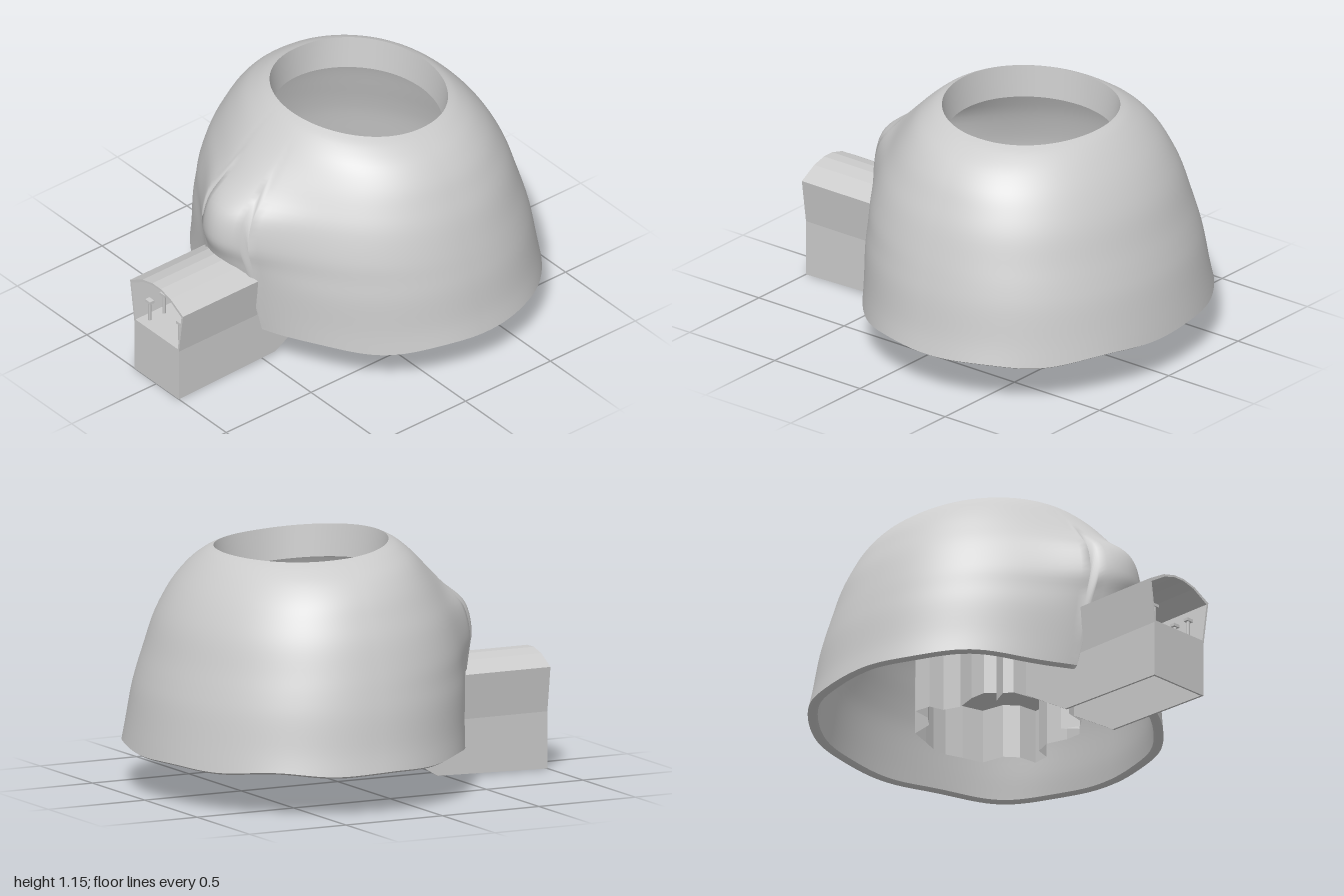
import * as THREE from 'three';

const mat = new THREE.MeshStandardMaterial({ color: 0xcccccc, side: THREE.DoubleSide });
const TAU = Math.PI * 2;
const { lerp, clamp, degToRad } = THREE.MathUtils;

// Dome profile: y, half width, back z, front z, front bulge
const PROFILE = [
  [0.2, 0.85, -0.98, 0.53, 0.03], [0.3, 0.83, -0.965, 0.53, 0.05], [0.45, 0.81, -0.94, 0.53, 0.08],
  [0.55, 0.79, -0.915, 0.52, 0.12], [0.65, 0.765, -0.885, 0.51, 0.16], [0.78, 0.725, -0.845, 0.47, 0.165],
  [0.88, 0.68, -0.8, 0.42, 0.09], [0.97, 0.63, -0.745, 0.365, 0.045], [1.05, 0.56, -0.68, 0.31, 0.01],
  [1.105, 0.48, -0.62, 0.25, 0], [1.13, 0.425, -0.575, 0.2, 0],
];

// Smooth spline through the profile rows, t from 0 (bottom) to 1 (rim)
function profileAt(t) {
  const last = PROFILE.length - 1;
  const i = Math.min(Math.floor(t * last), last - 1), s = t * last - i;
  const row = (k) => PROFILE[clamp(k, 0, last)];
  return row(i).map((p1, k) => {
    const p0 = row(i - 1)[k], p2 = row(i + 1)[k], p3 = row(i + 2)[k];
    return p1 + 0.5 * s * (p2 - p0 + s * (2 * p0 - 5 * p1 + 4 * p2 - p3 + s * (3 * (p1 - p2) + p3 - p0)));
  });
}

// The rim dips at the sides and back
function rimY(a) {
  const c = Math.cos(a);
  return 1.12 + 0.025 * c + 0.015 * c * c;
}

// Point on the dome at angle a (0 = front) and profile position t, moved inward by inset
function domePoint(a, t, inset) {
  const [py, hx, zb, zf, bulge] = profileAt(t);
  const c = Math.cos(a);
  const depth = c < 0 ? -Math.pow(-c, 0.9) : c;
  const x = (hx - inset) * Math.sin(a);
  let z = (zf + zb) / 2 + ((zf - zb) / 2 - inset) * depth;
  if (c > 0) z += bulge * Math.exp(-((x / 0.25) ** 2));
  const wobble = (1 - t) ** 8 * (0.006 * Math.sin(5 * a) + 0.006 * Math.cos(9 * a + 1));
  return [x, 0.2 + ((py - 0.2) / 0.93) * (rimY(a) - 0.2) + wobble, z];
}

// Lowest profile position: raised into an arch over the tunnel
function startAt(a) {
  const x = 0.84 * Math.sin(a);
  return Math.cos(a) < 0 || Math.abs(x) > 0.165 ? 0 : 0.285 - 2 * x * x;
}

function collarBottom(a) {
  return [0.412 * Math.sin(a), rimY(a) - 0.15, -0.187 + 0.37 * Math.cos(a)];
}

// Smooth closed band from point(angle, row / rows)
function band(rows, point, cols = 144) {
  const pos = [], index = [];
  for (let r = 0; r <= rows; r++)
    for (let c = 0; c < cols; c++) pos.push(...point((c / cols) * TAU, r / rows));
  for (let r = 0; r < rows; r++)
    for (let c = 0; c < cols; c++) {
      const d = (c + 1) % cols, p = r * cols + c, q = r * cols + d;
      index.push(p, q, q + cols, p, q + cols, p + cols);
    }
  const g = new THREE.BufferGeometry();
  g.setAttribute('position', new THREE.Float32BufferAttribute(pos, 3));
  g.setIndex(index);
  g.computeVertexNormals();
  return g;
}

function add(parent, name, geometry, x = 0, y = 0, z = 0) {
  const m = new THREE.Mesh(geometry, mat);
  m.name = name;
  m.position.set(x, y, z);
  parent.add(m);
  return m;
}

const shapeOf = (pts) => new THREE.Shape(pts.map(([x, y]) => new THREE.Vector2(x, y)));

// Extrude a (z, y) outline across x, centred on x = 0
function across(pts, width) {
  const g = new THREE.ExtrudeGeometry(shapeOf(pts), { depth: width, bevelEnabled: false });
  return g.rotateY(-Math.PI / 2).translate(width / 2, 0, 0);
}

function makeDome() {
  const g = new THREE.Group();
  g.name = 'dome';
  add(g, 'outerShell', band(40, (a, t) => domePoint(a, lerp(startAt(a), 1, t), 0)));
  add(g, 'openingCollar', band(4, (a, t) => {
    const top = domePoint(a, 1, 0), low = collarBottom(a);
    return top.map((v, i) => lerp(v, low[i], t));
  }));
  add(g, 'innerShell', band(26, (a, t) => t === 1
    ? collarBottom(a)
    : domePoint(a, lerp(startAt(a), 0.7, t * 26 / 25), 0.045)));
  add(g, 'bottomLip', band(3, (a, t) => {
    const p = domePoint(a, startAt(a), 0.045 * (1 - t));
    p[1] -= 0.01 * Math.sin(Math.PI * t);
    return p;
  }));
  return g;
}

function makeWalkway() {
  const g = new THREE.Group();
  g.name = 'walkway';
  // Side walls and floor of the hollow base, open below
  const side = [[1, 0.005], [1, 0.28], [0.45, 0.28], [0.18, 0.45], [0.18, 0.17], [0.43, 0.02]];
  for (const s of [-1, 1]) add(g, 'baseWall', across(side, 0.01), s * 0.155);
  add(g, 'baseFloor', across([[1, 0.28], [0.45, 0.28], [0.18, 0.45], [0.18, 0.435], [0.45, 0.265], [1, 0.265]], 0.31));
  add(g, 'baseFront', new THREE.BoxGeometry(0.32, 0.275, 0.01), 0, 0.1425, 0.995);

  // Faceted tunnel roof as a thin open shell
  const half = [[0.16, 0.27], [0.19, 0.48], [0.1, 0.53], [0.03, 0.548]];
  const outer = [...half, ...half.map(([x, y]) => [-x, y]).reverse()];
  const inner = outer.map(([x, y]) => [x * 0.94, y > 0.3 ? y - 0.01 : y]).reverse();
  const roof = new THREE.ExtrudeGeometry(shapeOf([...outer, ...inner]), { depth: 0.56, bevelEnabled: false });
  add(g, 'tunnelRoof', roof, 0, 0, 0.44);

  // Posts along both edges of the floor
  for (const s of [-1, 1])
    for (let i = 0; i < 6; i++) {
      const z = 0.95 - i * 0.085;
      add(g, 'post', new THREE.CylinderGeometry(0.008, 0.008, 0.1, 6), s * 0.11, 0.33, z);
      add(g, 'postCap', new THREE.BoxGeometry(0.035, 0.014, 0.025), s * 0.11, 0.383, z);
    }
  return g;
}

function makePlatform() {
  const g = new THREE.Group();
  g.name = 'platform';
  // Lobed outline (x, z), mirrored
  const half = [[0.12, 0.18], [0.22, 0.16], [0.25, 0.12], [0.21, 0.04], [0.27, 0.1], [0.31, 0.06], [0.31, -0.02],
    [0.28, -0.12], [0.31, -0.2], [0.38, -0.22], [0.39, -0.3], [0.3, -0.31], [0.24, -0.36], [0.22, -0.47],
    [0.12, -0.5], [0.04, -0.53]];
  const outline = [...half, ...half.map(([x, z]) => [-x, z]).reverse()];
  const top = new THREE.ExtrudeGeometry(shapeOf(outline.map(([x, z]) => [x, -z])), { depth: 0.02, bevelEnabled: false });
  add(g, 'platformTop', top.rotateX(-Math.PI / 2), 0, 0.43, 0);

  // Skirt panels; the edge towards the walkway stays open
  for (let i = 0; i < outline.length - 1; i++) {
    const [x1, z1] = outline[i], [x2, z2] = outline[i + 1];
    const panel = new THREE.PlaneGeometry(Math.hypot(x2 - x1, z2 - z1), 0.27);
    add(g, 'skirtPanel', panel, (x1 + x2) / 2, 0.305, (z1 + z2) / 2).rotation.y = Math.atan2(z1 - z2, x2 - x1);
  }

  // Raised broken ring with leaning blocks around it
  const zc = -0.225, n = 20;
  for (let i = 0; i < n; i++)
    add(g, 'ringSegment', new THREE.CylinderGeometry(0.226, 0.24, 0.03, 3, 1, true, (i / n) * TAU, (TAU / n) * 0.7), 0, 0.465, zc);
  const block = new THREE.BoxGeometry(0.06, 0.08, 0.04).rotateX(0.15);
  for (const deg of [0, 33, -33, 73, -73, 118, -118]) {
    const a = degToRad(deg);
    add(g, 'ringBlock', block, 0.245 * Math.sin(a), 0.49, zc - 0.238 * Math.cos(a)).rotation.y = -a;
  }
  for (const s of [-1, 1]) add(g, 'entryBlock', new THREE.BoxGeometry(0.045, 0.08, 0.045), s * 0.12, 0.49, 0.08);
  return g;
}

export function createModel() {
  const model = new THREE.Group();
  model.name = 'domedPavilion';
  model.add(makeDome(), makeWalkway(), makePlatform());
  return model;
}
